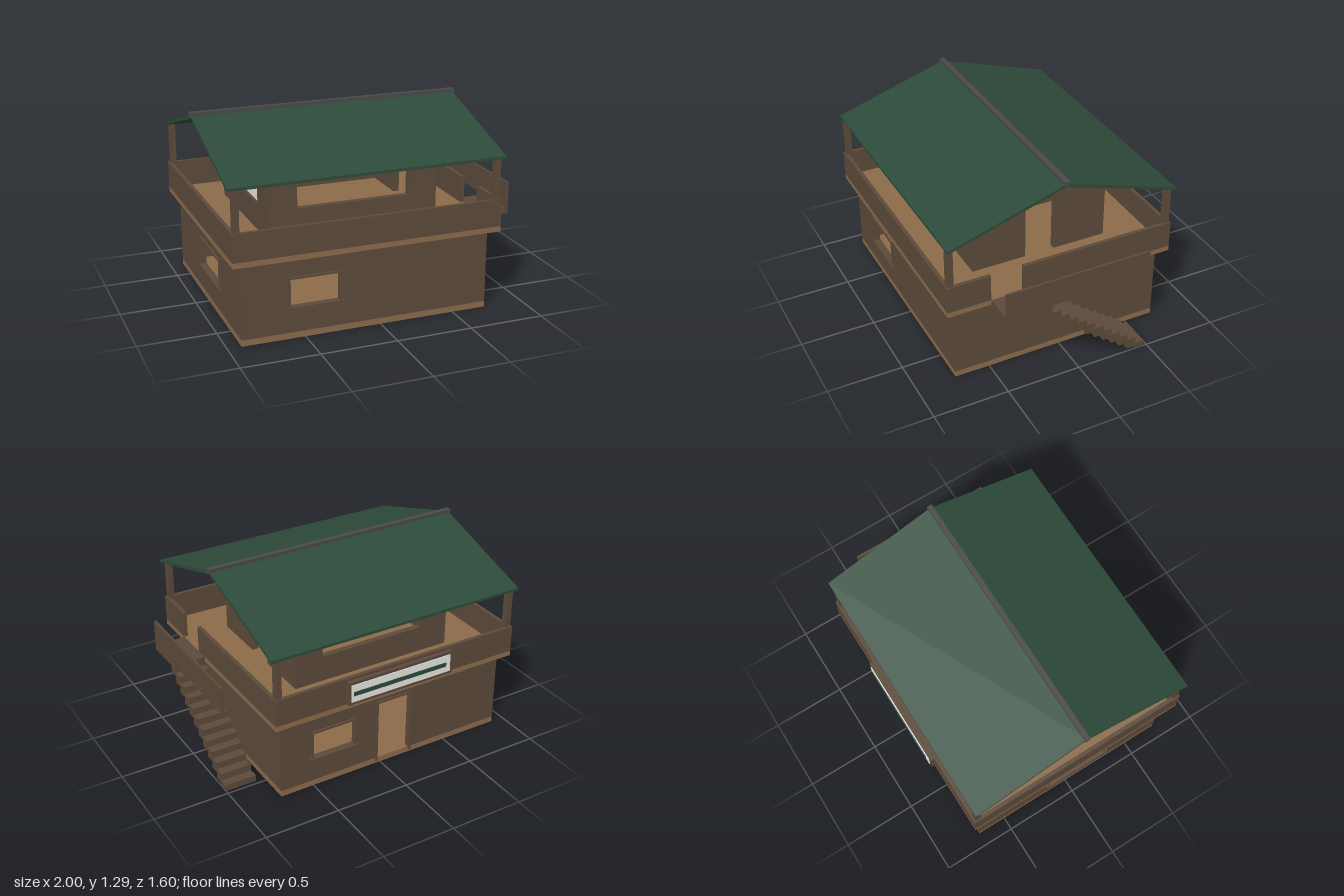
import * as THREE from 'three';

const material = (name, color, side = THREE.FrontSide) => {
  const m = new THREE.MeshStandardMaterial({ color, side });
  m.name = name;
  return m;
};

export function createModel() {
  const wood = material('dark wood', 0x5c4a3a);
  const tan = material('light wood', 0x8b6b4a);
  const green = material('roof green', 0x2d4a3a);
  const grey = material('ridge grey', 0x4a4a4a);
  const white = material('panel white', 0xe8e8e4);
  const model = new THREE.Group();
  model.name = 'twoStoreyLodge';

  const add = (name, geometry, mat, parent = model) => {
    const mesh = new THREE.Mesh(geometry, mat);
    mesh.name = name;
    parent.add(mesh);
    return mesh;
  };
  // Box given by its minimum and maximum on each axis
  const box = (name, mat, x0, x1, y0, y1, z0, z1, parent) => {
    const g = new THREE.BoxGeometry(x1 - x0, y1 - y0, z1 - z0);
    g.translate((x0 + x1) / 2, (y0 + y1) / 2, (z0 + z1) / 2);
    return add(name, g, mat, parent);
  };
  const rect = (a, b, c, d) => [[a, c], [b, c], [b, d], [a, d]];
  const toPoints = (list) => list.map(([u, v]) => new THREE.Vector2(u, v));
  const slab = (outline, holes, depth) => {
    const shape = new THREE.Shape(toPoints(outline));
    holes.forEach((h) => shape.holes.push(new THREE.Path(toPoints(h))));
    return new THREE.ExtrudeGeometry(shape, { depth, bevelEnabled: false });
  };
  // Wall in the xy plane, running from z to z + depth
  const wallZ = (name, mat, outline, holes, z, depth) =>
    add(name, slab(outline, holes, depth).translate(0, 0, z), mat);
  // Wall drawn in (z, y), running from x to x + depth
  const wallX = (name, mat, outline, holes, x, depth) =>
    add(name, slab(outline, holes, depth).rotateY(-Math.PI / 2).translate(x + depth, 0, 0), mat);

  // Ground floor
  const T = 0.03;
  box('baseSlab', tan, -0.91, 0.73, 0, 0.04, -0.7, 0.735);
  wallZ('frontWall', wood, rect(-0.91, 0.73, 0.04, 0.535), [rect(-0.6, -0.275, 0.21, 0.395)], 0.735 - T, T);
  wallZ('backWall', wood, [
    [-0.91, 0.04], [-0.215, 0.04], [-0.215, 0.455], [0.025, 0.455], [0.025, 0.04],
    [0.73, 0.04], [0.73, 0.535], [-0.91, 0.535],
  ], [rect(0.2, 0.505, 0.21, 0.395)], -0.7, T);
  wallX('rightSideWall', wood, rect(-0.7 + T, 0.735 - T, 0.04, 0.535), [], 0.73 - T, T);
  wallX('leftSideWall', wood, rect(-0.7 + T, 0.735 - T, 0.04, 0.535), [rect(-0.145, 0.295, 0.21, 0.395)], -0.91, T);

  // Window and door trims, built facing +z and turned into place
  const trim = (name, u0, u1, y0, y1, turn, x, z, sill) => {
    const g = new THREE.Group();
    g.name = name;
    const w = 0.013;
    box('jamb', wood, u0, u0 + w, y0, y1, -0.01, 0.012, g);
    box('jamb', wood, u1 - w, u1, y0, y1, -0.01, 0.012, g);
    box('head', wood, u0, u1, y1 - w, y1, -0.01, 0.013, g);
    if (sill) box('sill', wood, u0 - 0.012, u1 + 0.012, y0 - 0.012, y0 + 0.004, -0.01, 0.02, g);
    g.rotation.y = turn;
    g.position.set(x, 0, z);
    model.add(g);
  };
  trim('frontWindow', -0.61, -0.265, 0.207, 0.405, 0, 0, 0.735, true);
  trim('backWindow', -0.515, -0.19, 0.207, 0.405, Math.PI, 0, -0.7, true);
  trim('sideWindow', -0.157, 0.307, 0.207, 0.405, -Math.PI / 2, -0.91, 0, true);
  trim('doorFrame', -0.04, 0.23, 0.02, 0.47, Math.PI, 0, -0.7, false);

  // Terrace deck, parapet with a gap for the stairs, and roof posts
  const P = 0.025;
  box('deck', tan, -0.97, 0.79, 0.535, 0.57, -0.76, 0.8);
  box('frontParapet', wood, -0.97, 0.79, 0.57, 0.75, 0.8 - P, 0.8);
  box('backParapet', wood, -0.97, 0.79, 0.57, 0.75, -0.76, -0.76 + P);
  box('leftParapet', wood, -0.97, -0.97 + P, 0.57, 0.75, -0.76 + P, 0.8 - P);
  box('rightParapetBack', wood, 0.79 - P, 0.79, 0.57, 0.75, -0.76 + P, 0.29);
  box('rightParapetFront', wood, 0.79 - P, 0.79, 0.57, 0.75, 0.51, 0.8 - P);
  for (const x of [-0.94, 0.76]) {
    for (const z of [-0.73, 0.77]) {
      box('roofPost', wood, x - 0.02, x + 0.02, 0.57, 1.03, z - 0.02, z + 0.02);
    }
  }

  // Upper room with open sides and gables
  const W = 0.04;
  for (const z of [-0.45, 0.45]) {
    wallZ('upperLongWall', wood, rect(-0.66, 0.48, 0.57, 1.025), [rect(-0.46, 0.285, 0.745, 0.94)], z, W);
  }
  const gableTop = [[0.45, 1.025], [0.02, 1.245], [-0.41, 1.025]];
  wallX('doorGable', wood, [
    [-0.41, 0.57], [-0.085, 0.57], [-0.085, 0.94], [0.12, 0.94], [0.12, 0.57], [0.45, 0.57], ...gableTop,
  ], [], 0.48 - W, W);
  box('doorHeader', wood, 0.435, 0.484, 0.94, 0.978, -0.085, 0.12);
  wallX('windowGable', wood, [[-0.41, 0.57], [0.45, 0.57], ...gableTop],
    [rect(-0.27, 0.31, 0.745, 0.94)], -0.66, W);
  box('gablePane', white, -0.644, -0.636, 0.745, 0.94, -0.27, 0.31);

  // Pitched roof and ridge cap
  wallX('roof', green, [
    [0.795, 1.01], [0.795, 1.028], [0.02, 1.272], [-0.76, 1.028], [-0.76, 1.01], [0.02, 1.25],
  ], [], -0.99, 1.8);
  box('ridgeCap', grey, -1, 0.82, 1.262, 1.29, 0.003, 0.037);

  // Outside stairs: landing, railing panel and steps going down to the back
  box('landing', wood, 0.79, 1, 0.535, 0.57, 0.2, 0.51);
  box('stairRailing', wood, 0.985, 1, 0.57, 0.75, -0.475, 0.51);
  for (let i = 0; i < 12; i++) {
    const top = 0.555 - 0.0464 * i;
    const z = 0.265 - 0.0617 * i;
    box('step', wood, 0.79, 1, Math.max(0, top - 0.07), top, z - 0.0617, z);
  }

  // Sign board on the back parapet
  box('signBoard', wood, -0.475, 0.3, 0.57, 0.73, -0.785, -0.76);
  box('signPanel', white, -0.455, 0.28, 0.59, 0.71, -0.79, -0.784);
  box('signStripe', green, -0.42, 0.265, 0.635, 0.662, -0.796, -0.789);

  return model;
}
